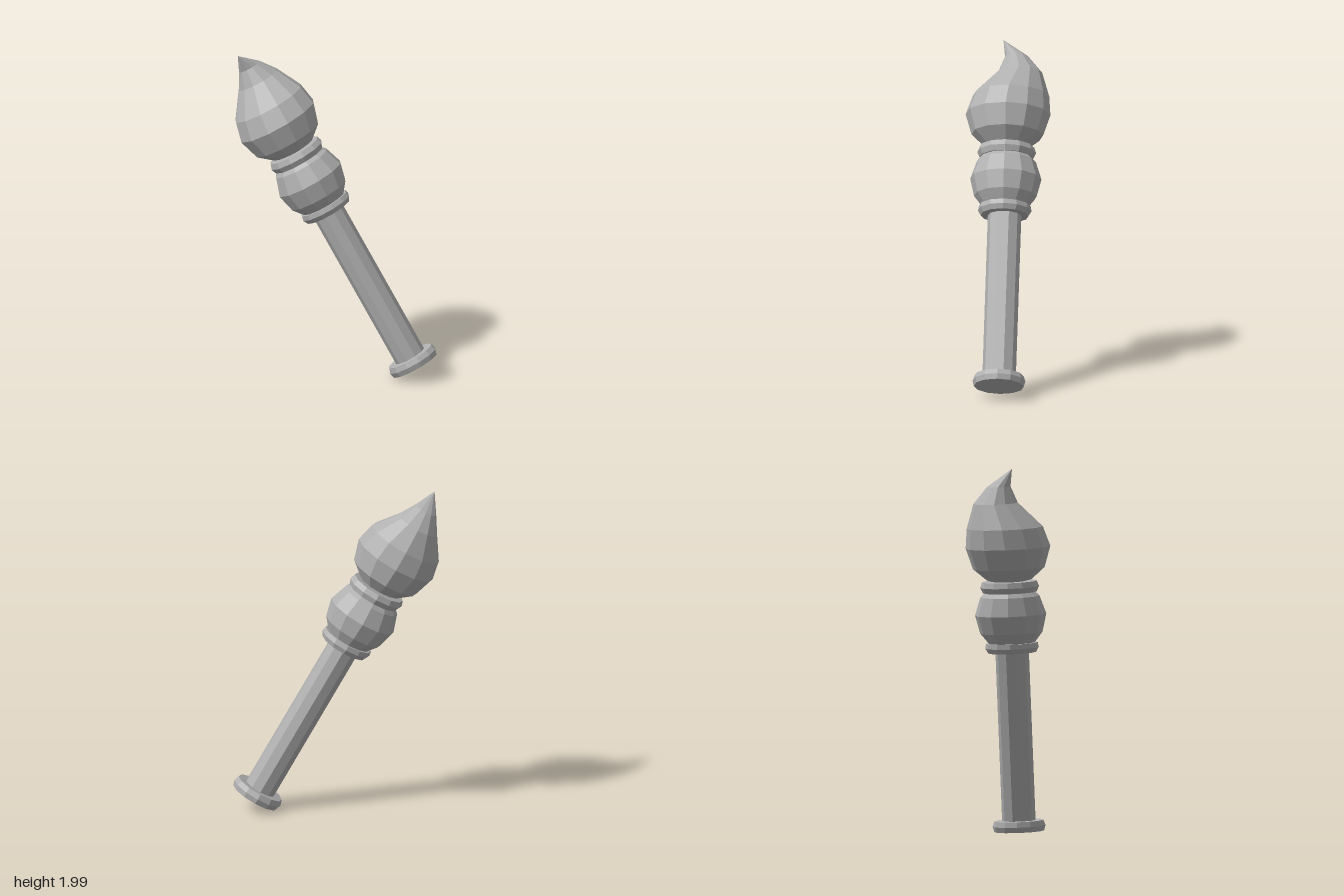
import * as THREE from 'three';

const SIDES = 12;

export function createModel() {
  const stone = new THREE.MeshStandardMaterial({ color: 0xb0b0b0, flatShading: true });
  stone.name = 'stone grey';

  // Everything is turned about one axis, which is then tilted to the side
  const torch = new THREE.Group();
  torch.name = 'torch';
  torch.position.set(0.495, 0.08, 0);
  torch.rotation.z = THREE.MathUtils.degToRad(29.6);

  const add = (name, geometry) => {
    const mesh = new THREE.Mesh(geometry, stone);
    mesh.name = name;
    torch.add(mesh);
    return mesh;
  };

  // Rings are [radius, height, optional z shift]
  const turned = (name, rings, sides = SIDES) => {
    const geometry = new THREE.LatheGeometry(rings.map(([r, y]) => new THREE.Vector2(r, y)), sides);
    const pos = geometry.attributes.position;
    for (let i = 0; i < pos.count; i++) {
      pos.setZ(i, pos.getZ(i) + (rings[i % rings.length][2] || 0));
    }
    geometry.computeVertexNormals();
    return add(name, geometry);
  };

  // Flat disc with a bevelled rim
  const collar = (name, y0, y1, rLow, rMid, rTop) => turned(name, [
    [0, y0], [rLow, y0], [rMid, (y0 + y1) / 2], [rTop, y1], [0, y1],
  ]);

  collar('footDisc', 0, 0.065, 0.152, 0.161, 0.15);

  // Ten-sided shaft
  const shaft = turned('shaft', [[0, 0.05], [0.102, 0.05], [0.102, 1.11], [0, 1.11]], 10);
  shaft.scale.x = 0.95;

  collar('lowerCollar', 1.088, 1.147, 0.146, 0.163, 0.158);

  turned('bulb', [
    [0, 1.12], [0.135, 1.14], [0.19, 1.21], [0.217, 1.32], [0.18, 1.43], [0.135, 1.475], [0, 1.48],
  ]);

  collar('upperCollar', 1.455, 1.522, 0.164, 0.179, 0.167);

  // Flame bulging backwards before curling forwards to its tip
  turned('flame', [
    [0, 1.5], [0.135, 1.53], [0.218, 1.602], [0.258, 1.73], [0.232, 1.85, -0.015],
    [0.135, 2.0, -0.065], [0.072, 2.1, -0.042], [0, 2.206, 0.043],
  ]);

  const model = new THREE.Group();
  model.name = 'model';
  model.add(torch);
  return model;
}
